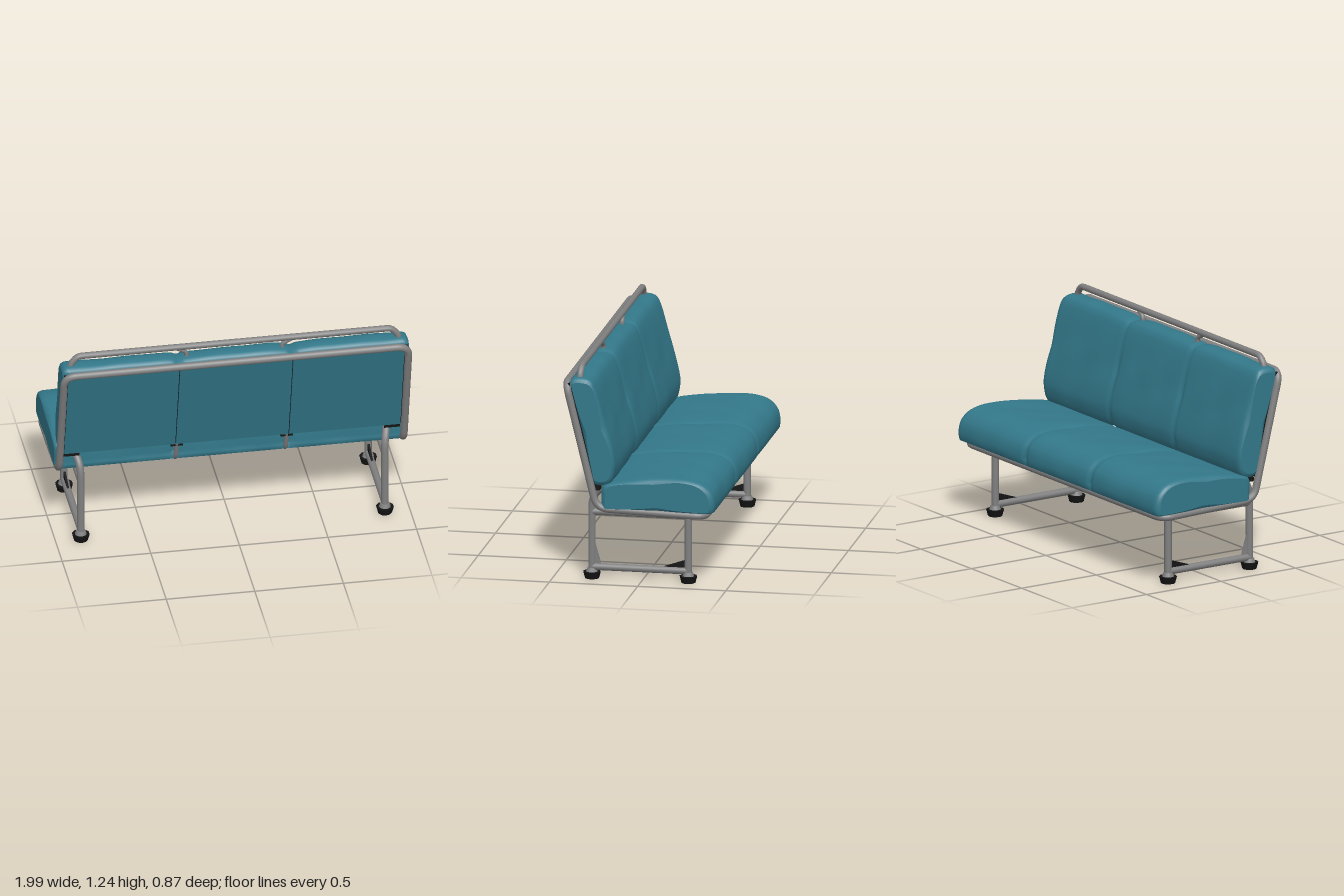
import * as THREE from 'three';

const teal = new THREE.MeshStandardMaterial({ color: 0x33788a });
teal.name = 'teal upholstery';
const grey = new THREE.MeshStandardMaterial({ color: 0x808080 });
grey.name = 'grey metal';
const black = new THREE.MeshStandardMaterial({ color: 0x141414 });
black.name = 'black rubber';

const V = (x, y, z) => new THREE.Vector3(x, y, z);

function add(parent, name, geometry, material, x = 0, y = 0, z = 0) {
  const mesh = new THREE.Mesh(geometry, material);
  mesh.name = name;
  mesh.position.set(x, y, z);
  parent.add(mesh);
  return mesh;
}

// Bent pipe: straight runs joined by rounded corners
function pipe(points, radius, bend, closed = false, segments = 60) {
  const path = new THREE.CurvePath();
  const n = points.length;
  const toward = (a, b) => {
    const d = a.distanceTo(b);
    return a.clone().lerp(b, Math.min(bend, d * 0.45) / d);
  };
  let from = closed ? toward(points[0], points[1]) : points[0];
  const last = closed ? n : n - 2;
  for (let i = 1; i <= last; i++) {
    const p = points[i % n];
    const enter = toward(p, points[i - 1]);
    const leave = toward(p, points[(i + 1) % n]);
    path.add(new THREE.LineCurve3(from, enter));
    path.add(new THREE.QuadraticBezierCurve3(enter, p, leave));
    from = leave;
  }
  if (!closed) path.add(new THREE.LineCurve3(from, points[n - 1]));
  return new THREE.TubeGeometry(path, segments, radius, 12, closed);
}

// Upholstered bench cushion: a [z, y] profile swept along x, pinched at two seams and rounded ends
function cushion(profile, half, flatSide) {
  const curve = new THREE.CatmullRomCurve3(profile.map(([z, y]) => V(0, y, z)), true, 'catmullrom', 0.4);
  const M = 64;
  const ring = curve.getSpacedPoints(M);
  const centre = ring.slice(0, M).reduce((s, p) => s.add(p), V(0, 0, 0)).divideScalar(M);
  const stations = [[-half, 1], [-half, 0.028], [-half, 0.028], [-half + 0.006, 0.012], [-half + 0.02, 0.003]];
  const steps = 120;
  for (let i = 0; i <= steps; i++) stations.push([(half - 0.035) * (2 * i / steps - 1), 0]);
  for (let i = 4; i >= 0; i--) stations.push([-stations[i][0], stations[i][1]]);

  const pos = [], index = [];
  for (const [x, inset] of stations) {
    const seam = Math.abs(Math.abs(x) - 0.32);
    const crease = 0.014 * Math.exp(-((seam / 0.016) ** 2)) + 0.006 * Math.exp(-((seam / 0.08) ** 2));
    for (const p of ring) {
      const q = p.clone();
      if (inset === 1) q.copy(centre);
      else {
        const soft = flatSide(p) ? 0.1 : 1;
        const wrinkle = 0.003 * Math.sin(x * 17 + p.z * 13 + p.y * 9) * Math.sin(x * 6 - p.y * 11);
        q.add(centre.clone().sub(p).normalize().multiplyScalar(inset + soft * (crease + wrinkle)));
      }
      pos.push(x, q.y, q.z);
    }
  }
  const W = M + 1;
  for (let i = 0; i < stations.length - 1; i++) {
    for (let j = 0; j < M; j++) {
      const a = i * W + j, b = a + W;
      index.push(a, b, a + 1, b, b + 1, a + 1);
    }
  }
  const g = new THREE.BufferGeometry();
  g.setAttribute('position', new THREE.Float32BufferAttribute(pos, 3));
  g.setIndex(index);
  g.computeVertexNormals();
  return g;
}

// Triangular plate in the side plane
function gusset(points) {
  const shape = new THREE.Shape(points.map(([z, y]) => new THREE.Vector2(-z, y)));
  const g = new THREE.ExtrudeGeometry(shape, { depth: 0.012, bevelEnabled: false });
  return g.translate(0, 0, -0.006).rotateY(Math.PI / 2);
}

export function createModel() {
  const bench = new THREE.Group();
  bench.name = 'bench';

  // Cushions
  const backLine = (y) => 0.255 + (y - 0.5) * 0.2453;
  add(bench, 'backCushion', cushion([
    [0.245, 0.56], [0.254, 0.575], [0.32, 0.85], [0.388, 1.13], [0.39, 1.155], [0.37, 1.17],
    [0.31, 1.172], [0.27, 1.155], [0.24, 1.09], [0.185, 0.9], [0.148, 0.76],
    [0.135, 0.67], [0.15, 0.59], [0.175, 0.563], [0.21, 0.555],
  ], 0.978, (p) => p.z > backLine(p.y) - 0.03), teal);
  add(bench, 'seatCushion', cushion([
    [0.2, 0.428], [0.21, 0.438], [0.211, 0.54], [0.2, 0.565], [0.13, 0.585], [0, 0.605], [-0.15, 0.617],
    [-0.27, 0.618], [-0.36, 0.595], [-0.415, 0.545], [-0.432, 0.48], [-0.425, 0.438], [-0.4, 0.428], [-0.1, 0.426],
  ], 0.992, (p) => p.y < 0.44), teal);

  // Back panels over a dark backing that shows at the edges and joints
  const back = new THREE.Group();
  back.name = 'backPanel';
  back.position.set(0, 0.845, backLine(0.845));
  back.rotation.x = Math.atan(0.2453);
  bench.add(back);
  add(back, 'backing', new THREE.BoxGeometry(1.94, 0.6, 0.012), black, 0, 0, -0.013);
  for (const x of [-1, 0, 1]) {
    add(back, 'panel', new THREE.BoxGeometry(x ? 0.626 : 0.634, 0.6, 0.009), teal, x * 0.635, 0, -0.003);
  }

  // Main pipe loop around the seat and back
  const side = [[0.412, 1.14], [0.238, 0.43], [-0.375, 0.412]];
  const loop = [
    ...side.map(([z, y]) => V(0.972, y, z)),
    ...side.slice().reverse().map(([z, y]) => V(-0.972, y, z)),
  ];
  add(bench, 'mainFrame', pipe(loop, 0.021, 0.07, true, 400), grey);

  // Thin ribs under the seat
  for (const x of [-0.31, 0.31]) {
    add(bench, 'seatRib', pipe([V(x, 0.56, 0.25), V(x, 0.418, 0.21), V(x, 0.415, -0.375)], 0.013, 0.05), grey);
    add(bench, 'ribBracket', new THREE.BoxGeometry(0.07, 0.022, 0.03), black, x, 0.543, 0.24);
    // Handrail stays
    const s = Math.sign(x);
    add(bench, 'railStay', pipe([V(s * 0.27, 1.14, 0.335), V(s * 0.27, 1.19, 0.335), V(s * 0.33, 1.222, 0.34)], 0.013, 0.02, false, 16), grey);
  }

  // Handrail along the top
  add(bench, 'handrail', pipe([
    V(-0.925, 1.13, 0.34), V(-0.925, 1.18, 0.34), V(-0.885, 1.225, 0.338),
    V(0.885, 1.225, 0.338), V(0.925, 1.18, 0.34), V(0.925, 1.13, 0.34),
  ], 0.018, 0.025, false, 200), grey);

  // Leg frames
  for (const s of [-1, 1]) {
    const leg = new THREE.Group();
    leg.name = s > 0 ? 'leftLegFrame' : 'rightLegFrame';
    bench.add(leg);
    const x = s * 0.858;
    add(leg, 'rearLeg', pipe([V(x, 0.03, 0.286), V(x, 0.47, 0.286), V(s * 0.885, 0.55, 0.2)], 0.021, 0.07), grey);
    add(leg, 'frontLeg', pipe([V(x, 0.03, -0.26), V(x, 0.2, -0.26), V(x, 0.41, -0.26)], 0.021, 0.02), grey);
    for (const [name, y] of [['lowerRail', 0.066], ['upperRail', 0.383]]) {
      add(leg, name, new THREE.CylinderGeometry(0.021, 0.021, 0.55, 12).rotateX(Math.PI / 2), grey, x, y, 0.013);
    }
    add(leg, 'rearGusset', gusset([[0.27, 0.21], [0.27, 0.07], [0.23, 0.07]]), grey, x);
    add(leg, 'frontGusset', gusset([[-0.12, 0.085], [-0.25, 0.07], [-0.25, 0.13]]), black, x);
    add(leg, 'backBracket', new THREE.BoxGeometry(0.09, 0.025, 0.03), black, s * 0.905, 0.54, 0.24);
    for (const z of [0.286, -0.26]) {
      add(leg, 'collar', new THREE.CylinderGeometry(0.026, 0.036, 0.03, 12), grey, x, 0.045, z);
      add(leg, 'foot', new THREE.CylinderGeometry(0.05, 0.04, 0.038, 10), black, x, 0.019, z);
    }
  }
  return bench;
}
